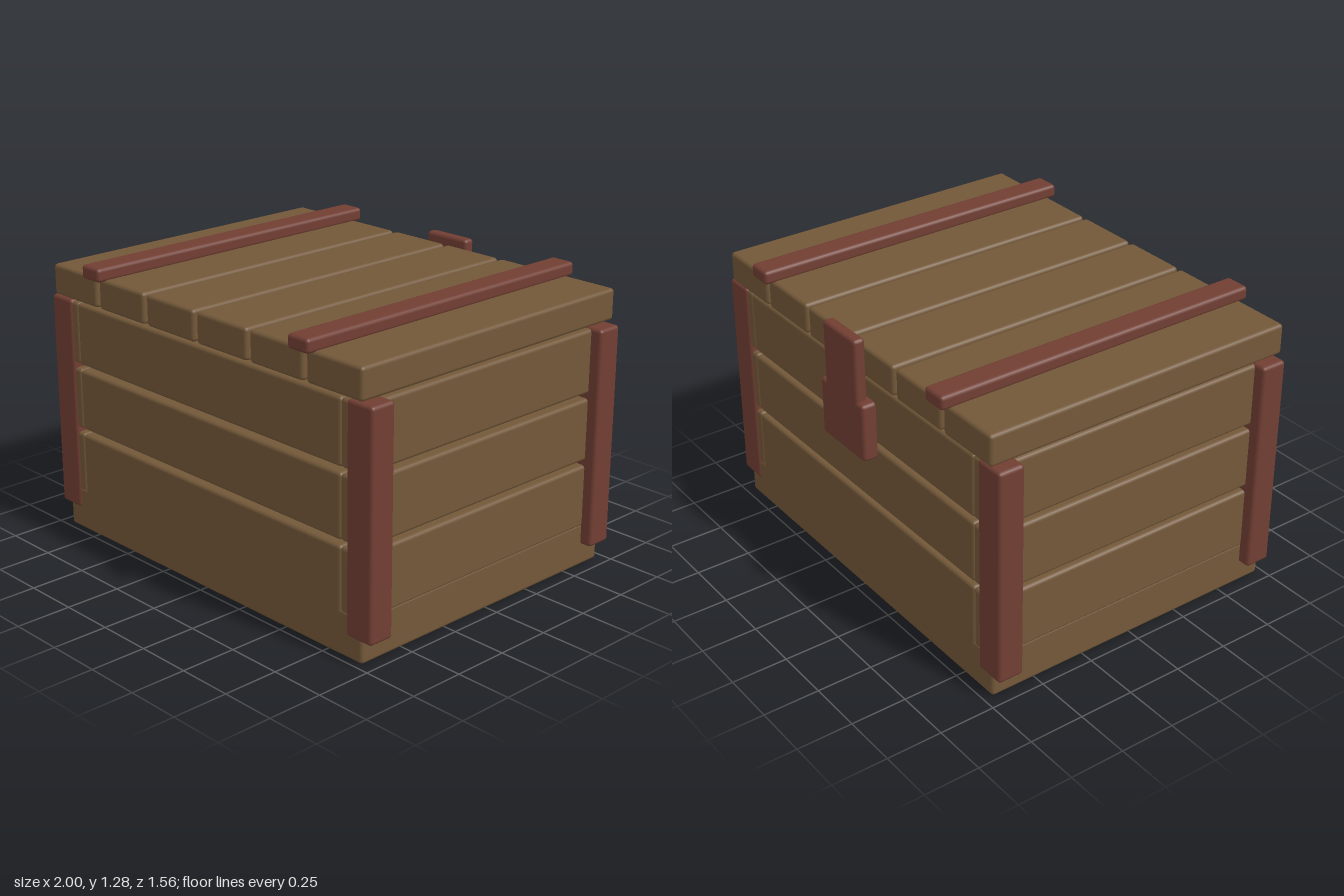
import * as THREE from 'three';
import { RoundedBoxGeometry } from 'three/addons/geometries/RoundedBoxGeometry.js';

const wood = new THREE.MeshStandardMaterial({ color: 0x735839 });
wood.name = 'brown wood';
const trim = new THREE.MeshStandardMaterial({ color: 0x713e33 });
trim.name = 'red brown trim';

// Softly bevelled board given by its min and max on each axis
function board(parent, name, material, [x0, x1], [y0, y1], [z0, z1], radius = 0.016) {
  const geometry = new RoundedBoxGeometry(x1 - x0, y1 - y0, z1 - z0, 2, radius);
  const mesh = new THREE.Mesh(geometry, material);
  mesh.position.set((x0 + x1) / 2, (y0 + y1) / 2, (z0 + z1) / 2);
  mesh.name = name;
  parent.add(mesh);
}

// Range from a to b, mirrored when side is -1
const span = (side, a, b) => (side > 0 ? [a, b] : [-b, -a]);

export function createModel() {
  const crate = new THREE.Group();
  crate.name = 'crate';

  // Solid base
  board(crate, 'base', wood, [-0.946, 0.946], [0, 0.2], [-0.712, 0.724]);

  // Three rows of wall planks with open gaps between them
  const walls = new THREE.Group();
  walls.name = 'walls';
  crate.add(walls);
  const rows = [[0.185, 0.468], [0.49, 0.77], [0.793, 1.076]];
  rows.forEach((row, i) => {
    const low = i === 0 ? 0.14 : row[0]; // lowest end planks overlap the base
    board(walls, 'frontPlank', wood, [-0.826, 0.826], [low, row[1]], [0.58, 0.725]);
    board(walls, 'backPlank', wood, [-0.826, 0.826], [low, row[1]], [-0.713, -0.57]);
    for (const s of [-1, 1]) {
      board(walls, 'sidePlank', wood, span(s, 0.82, 0.947), row, [-0.711, 0.723]);
    }
  });

  // Corner posts
  for (const s of [-1, 1]) {
    board(crate, 'frontPost', trim, span(s, 0.86, 1), [0.1, 1.082], [0.61, 0.731]);
    board(crate, 'backPost', trim, span(s, 0.86, 1), [0.1, 1.082], [-0.719, -0.598]);
  }

  // Lid of six planks held by two battens
  const lid = new THREE.Group();
  lid.name = 'lid';
  crate.add(lid);
  for (let i = 0; i < 6; i++) {
    const x = -0.96 + i * 0.3225;
    board(lid, 'lidPlank', wood, [x, x + 0.304], [1.092, 1.23], [-0.73, 0.743]);
  }
  for (const s of [-1, 1]) {
    board(lid, 'lidBatten', trim, span(s, 0.587, 0.704), [1.223, 1.285], [-0.768, 0.78]);
  }

  // Latch on the back
  const latch = new THREE.Group();
  latch.name = 'latch';
  crate.add(latch);
  board(latch, 'latchStrap', trim, [-0.12, 0.118], [0.85, 1.27], [-0.78, -0.726]);
  board(latch, 'latchPlate', trim, [-0.16, 0.156], [0.726, 0.99], [-0.779, -0.706]);

  return crate;
}
